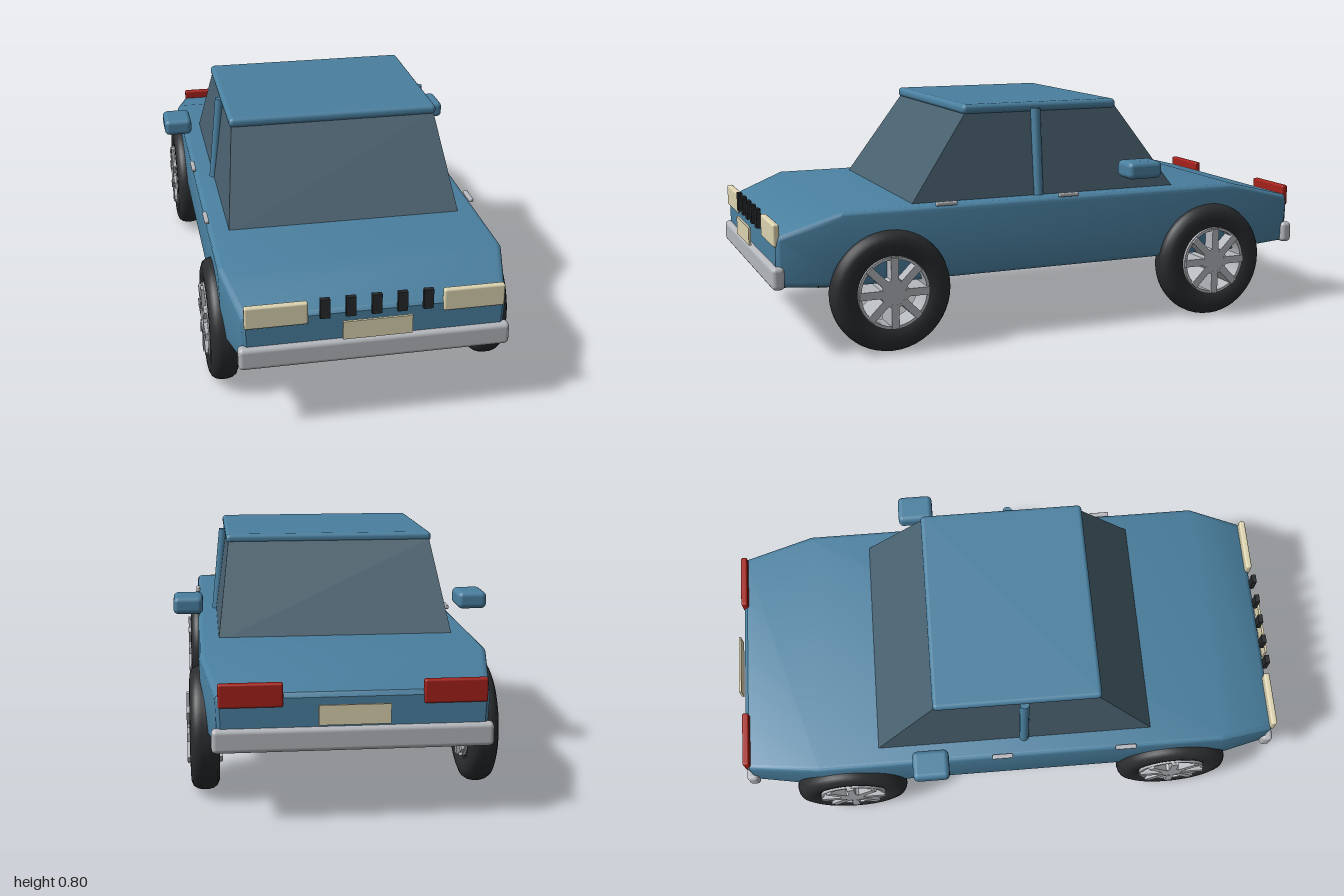
import * as THREE from 'three';
import { toCreasedNormals } from 'three/addons/utils/BufferGeometryUtils.js';
import { RoundedBoxGeometry } from 'three/addons/geometries/RoundedBoxGeometry.js';

const mat = (color) => new THREE.MeshStandardMaterial({ color });
const paint = mat(0x4a80a0), glass = mat(0x48606e), rubber = mat(0x2a2c2e), metal = mat(0xb4b7bc);
const cream = mat(0xdcd3b0), red = mat(0xa5211a), black = mat(0x26292b);

function add(parent, name, geometry, material, x = 0, y = 0, z = 0) {
  const mesh = new THREE.Mesh(geometry, material);
  mesh.name = name;
  mesh.position.set(x, y, z);
  parent.add(mesh);
  return mesh;
}

const rounded = (w, h, d, r) => new RoundedBoxGeometry(w, h, d, 3, r);

// Rounded rectangular cross-sections lofted along z: [z, half width, bottom, top]
function bodyGeometry(stations) {
  const r = 0.018, steps = 4, pos = [], index = [];
  for (const [z, w, y0, y1] of stations) {
    const corners = [[w - r, y1 - r], [r - w, y1 - r], [r - w + 0.006, y0 + r], [w - r - 0.006, y0 + r]];
    corners.forEach(([cx, cy], q) => {
      for (let k = 0; k <= steps; k++) {
        const a = (q + k / steps) * Math.PI / 2;
        pos.push(cx + r * Math.cos(a), cy + r * Math.sin(a), z);
      }
    });
  }
  const n = 4 * (steps + 1), last = stations.length - 1;
  for (let i = 0; i < last; i++) {
    for (let j = 0; j < n; j++) {
      const a = i * n + j, b = i * n + (j + 1) % n;
      index.push(a, b, b + n, a, b + n, a + n);
    }
  }
  // End caps
  for (let j = 1; j < n - 1; j++) {
    index.push(0, j + 1, j, last * n, last * n + j, last * n + j + 1);
  }
  const g = new THREE.BufferGeometry();
  g.setAttribute('position', new THREE.Float32BufferAttribute(pos, 3));
  g.setIndex(index);
  return toCreasedNormals(g, 0.5);
}

// Box whose top is narrower and shorter than its base
function cabinGeometry() {
  const g = new THREE.BoxGeometry(2, 1, 2);
  const p = g.attributes.position;
  for (let i = 0; i < p.count; i++) {
    const top = p.getY(i) > 0, front = p.getZ(i) > 0;
    const z = front ? (top ? 0.3 : 0.515) : (top ? -0.265 : -0.488);
    p.setXYZ(i, Math.sign(p.getX(i)) * (top ? 0.355 : 0.398), top ? 0.775 : 0.47, z);
  }
  g.computeVertexNormals();
  return g;
}

// Lathe of a closed profile [radius, offset], turned to spin about x
function ring(profile) {
  const pts = [...profile, profile[0]].map(([r, y]) => new THREE.Vector2(r, y));
  return toCreasedNormals(new THREE.LatheGeometry(pts, 48).rotateZ(Math.PI / 2), 0.6);
}

function wheel() {
  const g = new THREE.Group();
  g.name = 'wheel';
  add(g, 'tyre', ring([
    [0.12, -0.036], [0.135, -0.044], [0.155, -0.047], [0.175, -0.046], [0.192, -0.039], [0.201, -0.026],
    [0.205, -0.01], [0.205, 0.01], [0.201, 0.026], [0.192, 0.039], [0.175, 0.046], [0.155, 0.047],
    [0.135, 0.044], [0.12, 0.036],
  ]), rubber);
  add(g, 'rim', ring([[0.112, -0.048], [0.122, -0.048], [0.122, 0.048], [0.112, 0.048]]), metal);
  add(g, 'hub', new THREE.CylinderGeometry(0.048, 0.048, 0.112, 24).rotateZ(Math.PI / 2), metal);
  for (let i = 0; i < 8; i++) {
    const spoke = new THREE.BoxGeometry(0.114, 0.082, 0.026).translate(0, 0.078, 0);
    add(g, 'spoke', spoke, metal).rotation.x = i * Math.PI / 4;
  }
  return g;
}

export function createModel() {
  const car = new THREE.Group();
  car.name = 'car';

  // Body with tapered nose and tail
  add(car, 'body', bodyGeometry([
    [-0.973, 0.408, 0.25, 0.402], [-0.96, 0.42, 0.238, 0.416], [-0.7, 0.465, 0.233, 0.481],
    [0.765, 0.465, 0.233, 0.481], [0.958, 0.42, 0.238, 0.412], [0.971, 0.408, 0.25, 0.4],
  ]), paint);

  // Cabin
  add(car, 'windows', cabinGeometry(), glass);
  add(car, 'roof', rounded(0.726, 0.034, 0.58, 0.015), paint, 0, 0.783, 0.023);

  for (const s of [-1, 1]) {
    // Door pillar leaning with the side glass
    const pillar = add(car, 'doorPillar', new THREE.CylinderGeometry(0.017, 0.017, 0.31, 16), paint, s * 0.38, 0.625, 0.047);
    pillar.rotation.z = s * 0.1;
    add(car, 'sideMirror', rounded(0.102, 0.06, 0.128, 0.018), paint, s * 0.498, 0.566, -0.292);
    for (const z of [0.41, -0.036]) {
      add(car, 'doorHandle', rounded(0.016, 0.014, 0.075, 0.005), metal, s * 0.464, 0.487, z);
    }
    for (const z of [-0.605, 0.605]) {
      const w = wheel();
      w.position.set(s * 0.451, 0.209, z);
      car.add(w);
    }
    add(car, 'headlight', rounded(0.197, 0.075, 0.022, 0.007), cream, s * 0.313, 0.412, 0.968);
    add(car, 'tailLight', rounded(0.197, 0.075, 0.024, 0.007), red, s * 0.313, 0.412, -0.966);
    // Front and rear trim
    add(car, 'bumper', rounded(0.865, 0.075, 0.042, 0.015), metal, 0, 0.273, s * 0.968);
    add(car, 'numberPlate', new THREE.BoxGeometry(0.22, 0.062, 0.008), cream, 0, 0.353, s * 0.996);
  }

  // Grille slots
  for (let i = -2; i <= 2; i++) {
    add(car, 'grilleSlot', new THREE.BoxGeometry(0.031, 0.066, 0.016), black, i * 0.0815, 0.426, 0.977);
  }
  return car;
}
